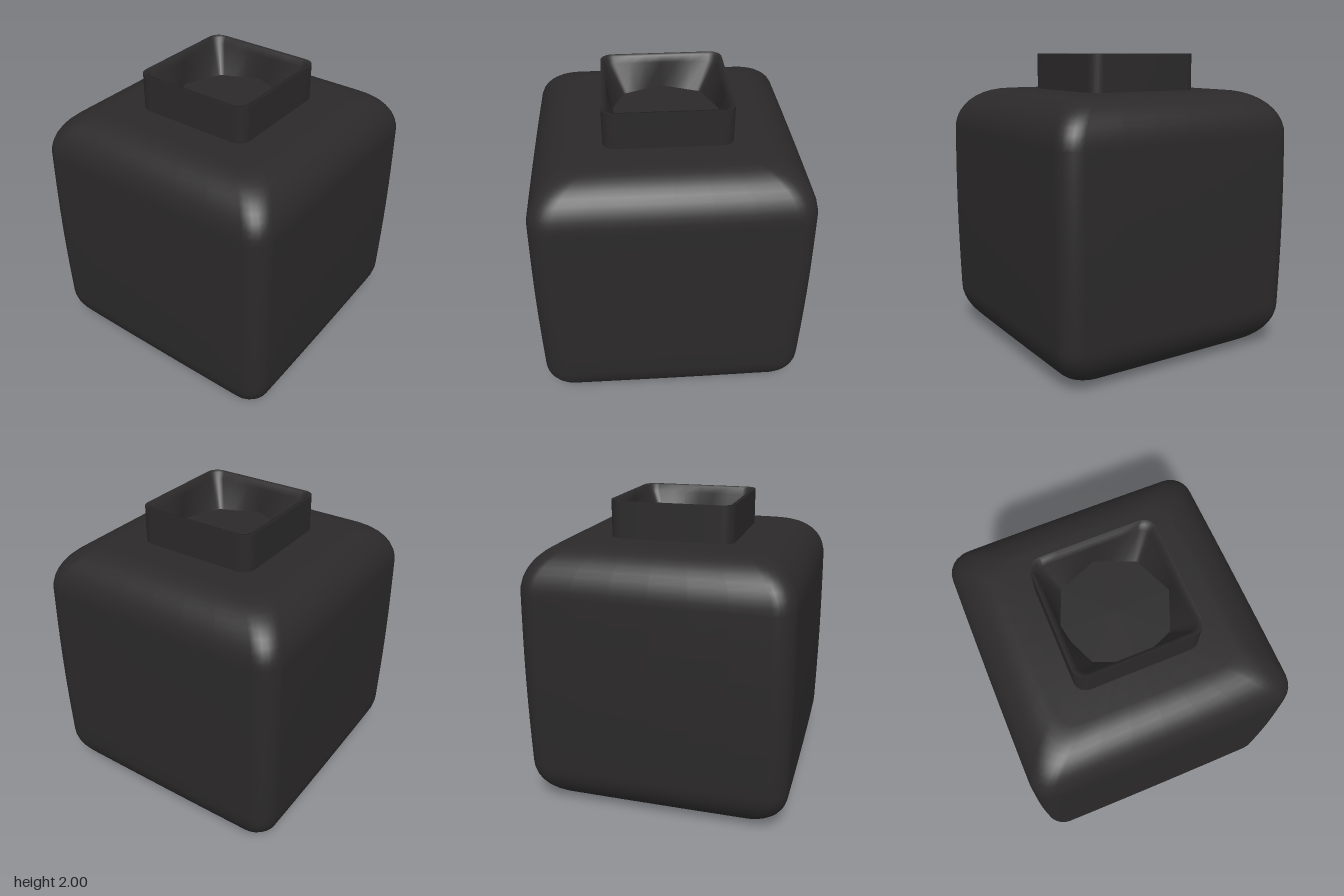
import * as THREE from 'three';

const CORNER = 6, EDGE = 6;

// Rounded-square ring of points in plan, counter-clockwise seen from above
function ring(half, radius, y, bow = 0) {
  const r = Math.min(radius, half), c = half - r, pts = [];
  for (let q = 0; q < 4; q++) {
    const a0 = q * Math.PI / 2;
    const turn = (x, z) => {
      // sides bow gently outward towards their middle
      const px = x * (1 - bow * (z / 0.88) ** 2), pz = z * (1 - bow * (x / 0.88) ** 2);
      pts.push([px * Math.cos(a0) - pz * Math.sin(a0), y, -(px * Math.sin(a0) + pz * Math.cos(a0))]);
    };
    for (let i = 1; i < EDGE; i++) turn(half, -c + 2 * c * i / EDGE);
    for (let i = 0; i <= CORNER; i++) {
      const a = i / CORNER * Math.PI / 2;
      turn(c + r * Math.cos(a), c + r * Math.sin(a));
    }
  }
  return pts;
}

// The points of a ring moved radially onto an octagon with corners on the axes
function octagonRing(radius, y) {
  const step = Math.PI / 4;
  return ring(radius, 0.05, y).map(([x, , z]) => {
    const a = Math.atan2(z, x), local = a - (Math.floor(a / step) + 0.5) * step;
    const d = radius * Math.cos(step / 2) / Math.cos(local);
    return [d * Math.cos(a), y, d * Math.sin(a)];
  });
}

// Smooth skin over a stack of equal-count rings
function loft(rings) {
  const n = rings[0].length, index = [];
  for (let i = 0; i < rings.length - 1; i++) {
    for (let j = 0; j < n; j++) {
      const k = (j + 1) % n, a = i * n + j, b = i * n + k;
      index.push(a, b, b + n, a, b + n, a + n);
    }
  }
  const geo = new THREE.BufferGeometry();
  geo.setAttribute('position', new THREE.Float32BufferAttribute(rings.flat(2), 3));
  geo.setIndex(index);
  geo.computeVertexNormals();
  return geo;
}

export function createModel() {
  const model = new THREE.Group();
  const material = new THREE.MeshStandardMaterial({ color: 0x2b2929 });
  const add = (name, geometry, parent = model) => {
    const mesh = new THREE.Mesh(geometry, material);
    mesh.name = name;
    parent.add(mesh);
    return mesh;
  };

  // Body: soft cube with broad rounding at top and bottom, slightly bulging sides
  const R = 0.29, H = 1.76, HALF = 0.872, rows = [];
  const bodyRing = (half, y) => ring(half, 0.13, y, 0.006);
  const roundedRing = (a, y) => bodyRing(HALF - R + R * Math.sin(a), y);
  rows.push(bodyRing(0, 0), bodyRing(0.4, 0));
  for (let i = 0; i <= 10; i++) {
    const a = i / 10 * Math.PI / 2;
    rows.push(roundedRing(a, R - R * Math.cos(a)));
  }
  for (let i = 1; i < 8; i++) {
    const t = i / 8;
    rows.push(bodyRing(HALF + 0.007 * Math.sin(t * Math.PI), R + (H - 2 * R) * t));
  }
  for (let i = 10; i >= 0; i--) {
    const a = i / 10 * Math.PI / 2;
    rows.push(roundedRing(a, H - R + R * Math.cos(a)));
  }
  rows.push(bodyRing(0.4, H), bodyRing(0, H));
  add('body', loft(rows));

  // Neck: square collar with a thin rim, funnelling down to an octagonal floor
  const neck = new THREE.Group();
  neck.name = 'neck';
  model.add(neck);
  add('neckOuterWall', loft([ring(0.406, 0.08, 1.74), ring(0.406, 0.08, 2)]), neck);
  add('neckRimAndFunnel', loft([
    ring(0.406, 0.08, 2), ring(0.38, 0.07, 1.995), ring(0.367, 0.06, 1.95), octagonRing(0.362, 1.78),
  ]), neck);
  const floor = add('neckFloor', new THREE.CircleGeometry(0.362, 8), neck);
  floor.rotation.x = -Math.PI / 2;
  floor.position.y = 1.78;

  return model;
}
